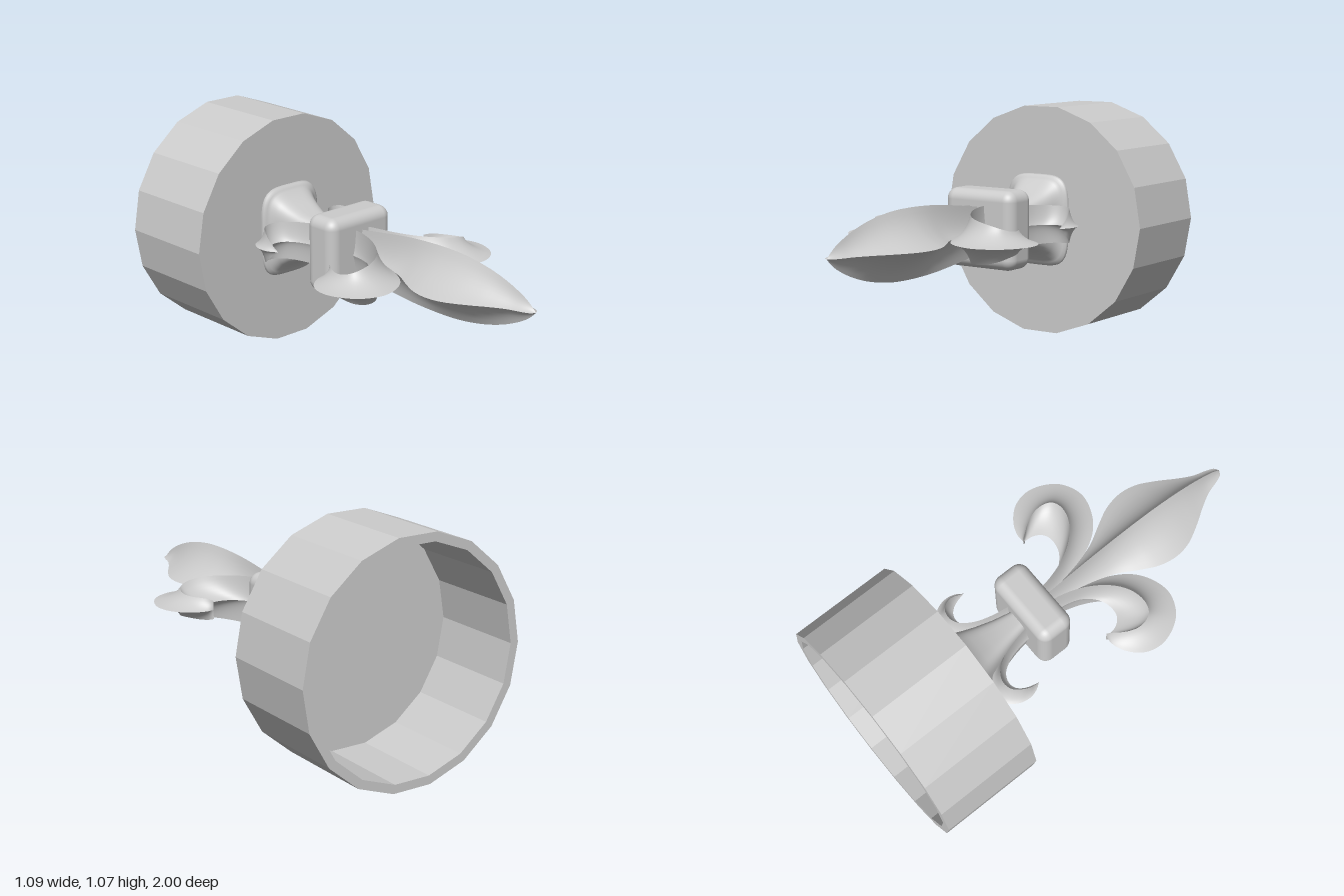
import * as THREE from 'three';
import { mergeGeometries } from 'three/addons/utils/BufferGeometryUtils.js';
import { RoundedBoxGeometry } from 'three/addons/geometries/RoundedBoxGeometry.js';

const V = (x, y, z) => new THREE.Vector3(x, y, z);

// Smooth skin over a list of equally long point rows
function loft(rows, flip = false) {
  const n = rows[0].length, index = [];
  for (let i = 0; i < rows.length - 1; i++) {
    for (let j = 0; j < n - 1; j++) {
      const a = i * n + j, b = a + 1, c = a + n, d = c + 1;
      if (flip) index.push(a, c, b, b, c, d);
      else index.push(a, b, c, b, d, c);
    }
  }
  const g = new THREE.BufferGeometry();
  g.setAttribute('position', new THREE.Float32BufferAttribute(
    rows.flat().flatMap((p) => [p.x, p.y, p.z]), 3));
  g.setIndex(index);
  g.computeVertexNormals();
  return g;
}

// Petal with a concave diamond section and four sharp edges.
// Each station: [edgeA x, z, ridge x, z, edgeB x, z, ridge height]
function petal(stations, flip, steps = 72) {
  const curve = (f) => new THREE.CatmullRomCurve3(stations.map(f));
  const edgeA = curve((s) => V(s[0], 0, s[1]));
  const edgeB = curve((s) => V(s[4], 0, s[5]));
  const ridge = curve((s) => V(s[2], s[6], s[3]));
  const strips = [[], [], [], []];
  for (let i = 0; i <= steps; i++) {
    const a = edgeA.getPoint(i / steps), b = edgeB.getPoint(i / steps);
    const top = ridge.getPoint(i / steps);
    const low = V(top.x, -top.y, top.z), mid = V(top.x, 0, top.z);
    [[a, top], [top, b], [b, low], [low, a]].forEach(([p, q], k) => {
      const pull = p.clone().lerp(q, 0.5).lerp(mid, 0.5);
      strips[k].push(new THREE.QuadraticBezierCurve3(p, pull, q).getPoints(8));
    });
  }
  return mergeGeometries(strips.map((s) => loft(s, flip)));
}

export function createModel() {
  const model = new THREE.Group();
  const smooth = new THREE.MeshStandardMaterial({ color: 0xcccccc, side: THREE.DoubleSide });
  const flat = new THREE.MeshStandardMaterial({ color: 0xcccccc, flatShading: true });
  const add = (parent, name, geometry, material = smooth) => {
    const mesh = new THREE.Mesh(geometry, material);
    mesh.name = name;
    parent.add(mesh);
    return mesh;
  };

  // Hollow end cap, open at the back
  const capProfile = [[0, -0.56], [0.505, -0.56], [0.505, -1], [0.545, -1], [0.545, -0.52], [0, -0.52]]
    .map(([r, z]) => new THREE.Vector2(r, z));
  const cap = new THREE.LatheGeometry(capProfile, 18, Math.PI / 2);
  cap.rotateX(Math.PI / 2);
  add(model, 'endCap', cap, flat).position.y = 0.537;

  const ornament = new THREE.Group();
  ornament.name = 'ornament';
  ornament.position.set(-0.009, 0.54, 0);
  model.add(ornament);

  // Flared foot: rounded rectangles [z, half width, half height]
  const foot = [[-0.525, 0.165, 0.21], [-0.515, 0.172, 0.217], [-0.505, 0.168, 0.213], [-0.497, 0.155, 0.2],
    [-0.49, 0.138, 0.19], [-0.46, 0.125, 0.162], [-0.42, 0.112, 0.138], [-0.36, 0.094, 0.112],
    [-0.28, 0.072, 0.094], [-0.2, 0.055, 0.085], [-0.12, 0.05, 0.085]];
  const power = (v) => Math.sign(v) * Math.abs(v) ** 0.5;
  add(ornament, 'flaredFoot', loft(foot.map(([z, w, h]) => Array.from({ length: 65 }, (_, i) => {
    const t = (i / 64) * Math.PI * 2;
    return V(w * power(Math.cos(t)), h * power(Math.sin(t)), z);
  }))));

  // Collar binding the petals
  const collar = add(ornament, 'collar', new RoundedBoxGeometry(0.375, 0.36, 0.175, 5, 0.05));
  collar.position.set(0, 0.005, -0.108);

  // Central blade: [z, half width, half height]
  const blade = [[-0.1, 0.03, 0.1], [0, 0.032, 0.113], [0.1, 0.042, 0.126], [0.2, 0.06, 0.139],
    [0.3, 0.09, 0.149], [0.4, 0.145, 0.154], [0.48, 0.184, 0.155], [0.57, 0.2, 0.152], [0.65, 0.187, 0.143],
    [0.74, 0.142, 0.126], [0.82, 0.092, 0.103], [0.89, 0.055, 0.075], [0.95, 0.037, 0.043],
    [0.985, 0.022, 0.015], [1, 0, 0]];
  add(ornament, 'centralBlade', petal(blade.map(([z, w, h]) => [w, z, 0, z, -w, z, h]), false));

  // Side petals and rear curls: [inner x, z, ridge x, z, outer x, z, ridge height]
  const side = [[0.06, -0.1, 0.035, -0.1, 0, -0.1, 0.11], [0.058, 0, 0.042, 0, 0.008, 0, 0.116],
    [0.08, 0.09, 0.075, 0.11, 0.035, 0.13, 0.112], [0.115, 0.14, 0.12, 0.19, 0.075, 0.26, 0.106],
    [0.155, 0.17, 0.175, 0.25, 0.14, 0.36, 0.1], [0.2, 0.182, 0.235, 0.285, 0.225, 0.415, 0.093],
    [0.235, 0.18, 0.295, 0.295, 0.315, 0.43, 0.083], [0.26, 0.168, 0.34, 0.28, 0.405, 0.39, 0.07],
    [0.276, 0.15, 0.36, 0.245, 0.456, 0.32, 0.058], [0.286, 0.13, 0.362, 0.205, 0.476, 0.24, 0.052],
    [0.29, 0.112, 0.35, 0.165, 0.455, 0.16, 0.05], [0.291, 0.097, 0.328, 0.125, 0.395, 0.1, 0.05],
    [0.292, 0.085, 0.307, 0.098, 0.335, 0.076, 0.048], [0.292, 0.077, 0.292, 0.077, 0.292, 0.077, 0.042]];
  const rear = [[0.08, -0.1, 0.06, -0.1, 0.03, -0.1, 0.1], [0.083, -0.2, 0.065, -0.2, 0.035, -0.2, 0.1],
    [0.093, -0.27, 0.08, -0.28, 0.055, -0.29, 0.096], [0.113, -0.33, 0.105, -0.35, 0.085, -0.38, 0.092],
    [0.145, -0.375, 0.145, -0.405, 0.13, -0.44, 0.088], [0.185, -0.392, 0.19, -0.425, 0.19, -0.47, 0.086],
    [0.22, -0.385, 0.235, -0.415, 0.25, -0.46, 0.082], [0.243, -0.362, 0.262, -0.38, 0.288, -0.415, 0.07],
    [0.256, -0.335, 0.272, -0.345, 0.299, -0.36, 0.045], [0.263, -0.31, 0.271, -0.315, 0.288, -0.318, 0.02],
    [0.268, -0.288, 0.268, -0.288, 0.268, -0.288, 0]];
  for (const s of [1, -1]) {
    const mirrored = (list) => list.map(([a, az, r, rz, b, bz, h]) => [s * a, az, s * r, rz, s * b, bz, h]);
    const hand = s > 0 ? 'left' : 'right';
    add(ornament, hand + 'SidePetal', petal(mirrored(side), s < 0));
    add(ornament, hand + 'RearCurl', petal(mirrored(rear), s > 0));
  }
  return model;
}
